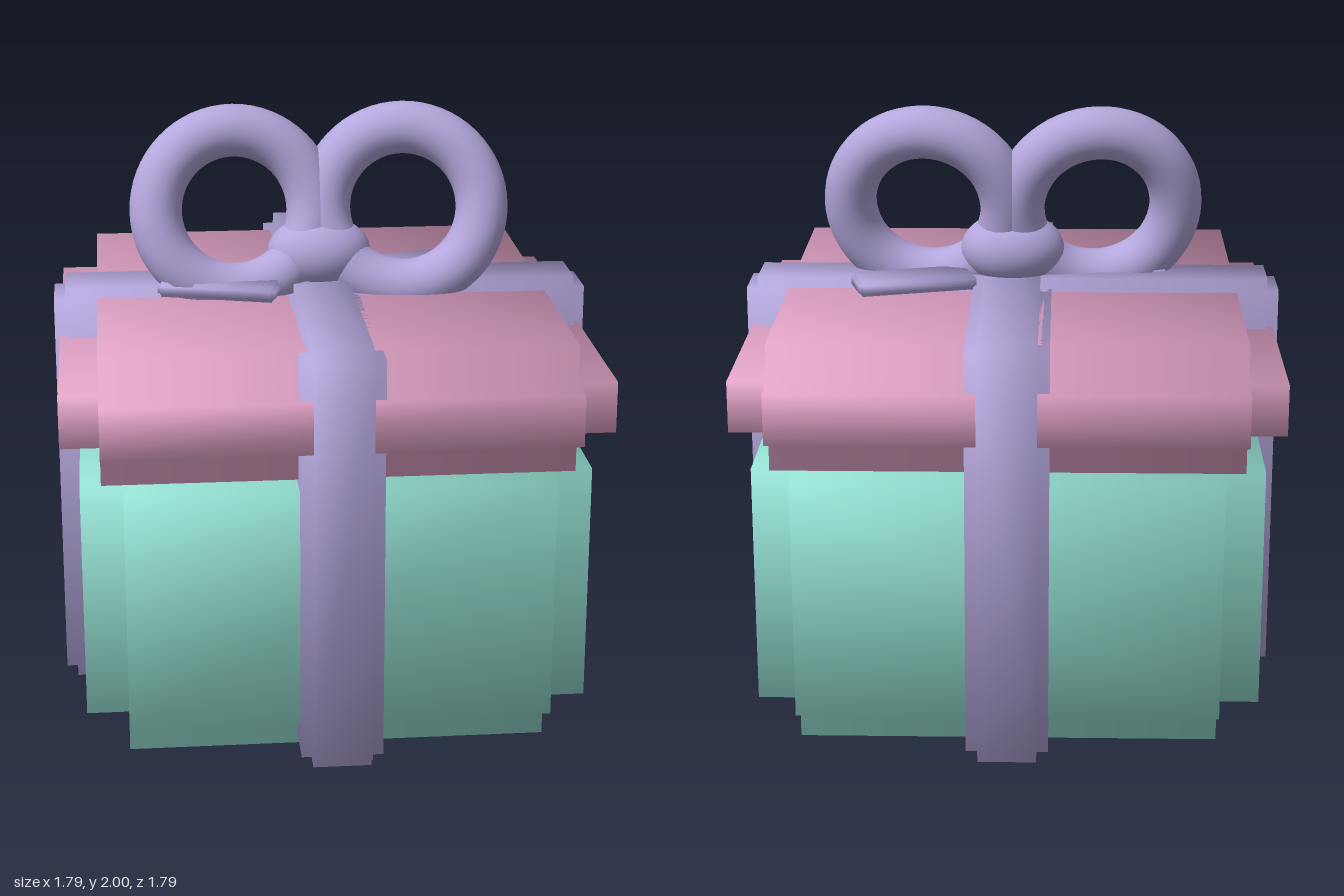
import * as THREE from 'three';

// Box whose edges and corners are cut back in one square step, softly shaded.
function steppedBox(w, h, d, step) {
  const half = [w / 2, h / 2, d / 2];
  const pos = [], nor = [], idx = [];
  // four points per corner: the inner one, then one raised along each axis
  for (let i = 0; i < 8; i++) {
    const s = [0, 1, 2].map(a => ((i >> a) & 1 ? 1 : -1));
    for (let k = 0; k < 4; k++) {
      for (let a = 0; a < 3; a++) pos.push(s[a] * (half[a] - (k === a + 1 ? 0 : step)));
      nor.push(...s.map(v => v / Math.sqrt(3)));
    }
  }
  const id = (bits, k) => bits * 4 + k;
  const quad = (a, b, c, d2, flip) =>
    flip ? idx.push(a, c, b, a, d2, c) : idx.push(a, b, c, a, c, d2);

  for (let n = 0; n < 3; n++) {
    const u = (n + 1) % 3, v = (n + 2) % 3;
    for (const s of [0, 1]) {
      const base = s << n, U = 1 << u, V = 1 << v;
      // raised plate
      quad(id(base, n + 1), id(base | U, n + 1), id(base | U | V, n + 1), id(base | V, n + 1), !s);
      // step walls facing the same way, beside the neighbouring plates
      for (const [o, w2] of [[u, v], [v, u]]) {
        for (const so of [0, 1]) {
          const lo = base | (so << o), hi = lo | (1 << w2);
          const turn = (so ? 1 : -1) * (o === u ? 1 : -1) * (s ? 1 : -1);
          quad(id(lo, 0), id(lo, o + 1), id(hi, o + 1), id(hi, 0), turn < 0);
        }
      }
    }
  }
  const g = new THREE.BufferGeometry();
  g.setAttribute('position', new THREE.Float32BufferAttribute(pos, 3));
  g.setAttribute('normal', new THREE.Float32BufferAttribute(nor, 3));
  g.setIndex(idx);
  return g;
}

function material(name, color) {
  const m = new THREE.MeshStandardMaterial({ color });
  m.name = name;
  return m;
}

export function createModel() {
  const model = new THREE.Group();
  model.name = 'giftBox';
  const teal = material('teal', 0x95e1d3);
  const pink = material('pink', 0xe2a4c7);
  const lilac = material('lilac', 0xb4a7dc);

  const add = (name, geometry, mat, x, y, z, parent = model) => {
    const mesh = new THREE.Mesh(geometry, mat);
    mesh.name = name;
    mesh.position.set(x, y, z);
    parent.add(mesh);
    return mesh;
  };

  // box and lid
  add('boxBody', steppedBox(1.645, 1.073, 1.645, 0.137), teal, 0, 0.5405, 0);
  add('lid', steppedBox(1.76, 0.42, 1.76, 0.126), pink, 0, 1.17, 0);

  // crossing ribbons wrapped around everything
  const ribbon = steppedBox(0.266, 1.418, 1.794, 0.038);
  add('ribbonFrontToBack', ribbon, lilac, 0, 0.709, 0);
  add('ribbonSideToSide', ribbon, lilac, 0, 0.709, 0).rotation.y = Math.PI / 2;

  // bow
  const bow = new THREE.Group();
  bow.name = 'bow';
  model.add(bow);
  const loop = new THREE.TorusGeometry(0.266, 0.088, 24, 64);
  for (const side of [-1, 1]) {
    const ring = add(side > 0 ? 'leftLoop' : 'rightLoop', loop, lilac, side * 0.285, 1.65, 0, bow);
    ring.rotation.set(-0.24, -side * 0.1, 0);
  }
  add('knot', new THREE.SphereGeometry(1, 32, 24), lilac, 0, 1.5, 0, bow).scale.set(0.175, 0.122, 0.13);

  // ribbon ends lying on the lid
  const tail = steppedBox(0.4, 0.05, 0.16, 0.012);
  add('leftTail', tail, lilac, 0.33, 1.413, -0.12, bow).rotation.y = 0.28;
  add('rightTail', tail, lilac, -0.34, 1.413, 0.11, bow).rotation.y = -0.28;

  return model;
}
